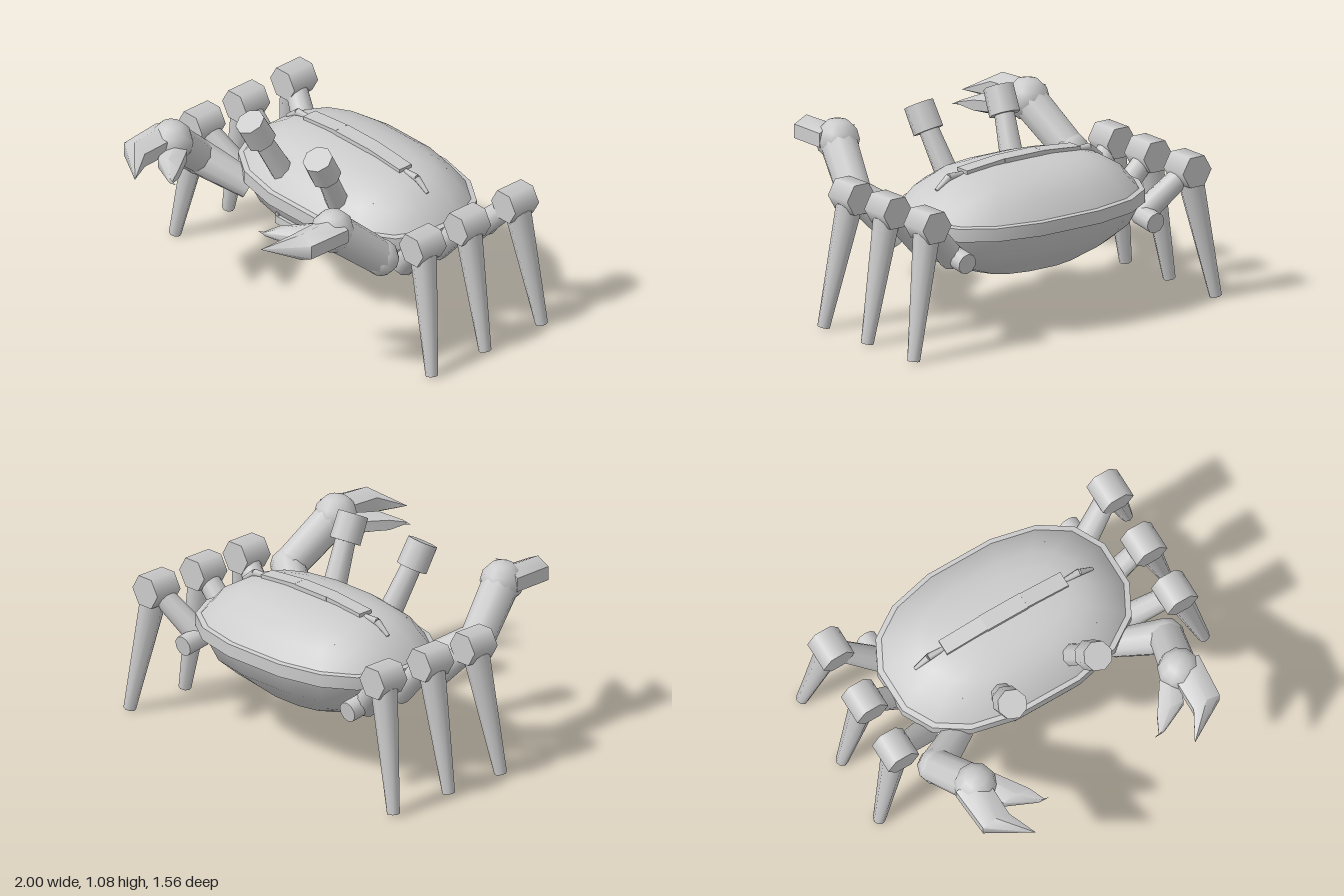
import * as THREE from 'three';
import { toCreasedNormals } from 'three/addons/utils/BufferGeometryUtils.js';

const shellGrey = new THREE.MeshStandardMaterial({ color: 0xcccccc });
shellGrey.name = 'shell grey';

const V = (x, y, z) => new THREE.Vector3(x, y, z);

function add(parent, name, geometry, pos) {
  const m = new THREE.Mesh(geometry, shellGrey);
  m.name = name;
  if (pos) m.position.copy(pos);
  parent.add(m);
  return m;
}

// Tapered round bar between two points
function rod(parent, name, a, b, ra, rb, sides = 10) {
  const d = b.clone().sub(a);
  const m = add(parent, name, new THREE.CylinderGeometry(rb, ra, d.length(), sides), a.clone().add(b).multiplyScalar(0.5));
  m.quaternion.setFromUnitVectors(V(0, 1, 0), d.normalize());
  return m;
}

// Stacked elliptical sections: [y, radiusX, radiusZ, centreX, centreZ]
function loft(sections, sides, power, crease) {
  const pos = [], index = [];
  const bend = v => Math.sign(v) * Math.pow(Math.abs(v), power);
  for (const [y, rx, rz, cx = 0, cz = 0] of sections) {
    for (let i = 0; i < sides; i++) {
      const t = ((i + 0.5) / sides) * Math.PI * 2;
      pos.push(cx + rx * bend(Math.cos(t)), y, cz + rz * bend(Math.sin(t)));
    }
  }
  for (let j = 0; j < sections.length - 1; j++) {
    for (let i = 0; i < sides; i++) {
      const k = (i + 1) % sides;
      const a = j * sides + i, b = j * sides + k, c = a + sides, d = b + sides;
      index.push(a, c, b, b, c, d);
    }
  }
  const g = new THREE.BufferGeometry();
  g.setAttribute('position', new THREE.Float32BufferAttribute(pos, 3));
  g.setIndex(index);
  return toCreasedNormals(g, crease);
}

function addBody(root) {
  add(root, 'body', loft([
    [0.29, 0, 0], [0.29, 0.31, 0.21], [0.36, 0.51, 0.29], [0.44, 0.61, 0.38], [0.55, 0.665, 0.43],
    [0.555, 0.69, 0.455], [0.625, 0.69, 0.455], [0.63, 0.66, 0.43], [0.72, 0.585, 0.365],
    [0.79, 0.47, 0.27], [0.82, 0.36, 0.18], [0.835, 0.2, 0.1], [0.838, 0, 0],
  ], 16, 0.8, 0.62), V(0, 0, -0.335));

  // Mouth bar with turned-up ends
  add(root, 'mouth', new THREE.BoxGeometry(0.36, 0.045, 0.06), V(0, 0.455, 0.045));
  for (const s of [-1, 1]) add(root, 'mouthCorner', new THREE.BoxGeometry(0.02, 0.06, 0.05), V(s * 0.17, 0.465, 0.045));

  // Plates along the crest of the shell
  add(root, 'crestPlate', new THREE.BoxGeometry(0.24, 0.05, 0.09), V(0, 0.835, -0.335));
  for (const s of [-1, 1]) {
    const plate = add(root, 'crestSidePlate', new THREE.BoxGeometry(0.245, 0.045, 0.085), V(s * 0.24, 0.827, -0.335));
    plate.rotation.z = -s * 0.09;
    rod(root, 'crestWire', V(s * 0.35, 0.815, -0.335), V(s * 0.45, 0.81, -0.335), 0.012, 0.02, 6);
    rod(root, 'crestWireTip', V(s * 0.45, 0.81, -0.335), V(s * 0.53, 0.755, -0.335), 0.02, 0.01, 6);
    // Small studs on the shell
    for (const [x, z] of [[0.4, -0.59], [0.52, -0.45], [0.52, -0.22], [0.4, -0.075]]) {
      add(root, 'stud', new THREE.ConeGeometry(0.012, 0.04, 6), V(s * x, 0.725, z));
    }
  }
}

function addEye(root, s) {
  rod(root, 'eyeStalk', V(s * 0.2, 0.65, -0.03), V(s * 0.247, 0.95, 0.125), 0.064, 0.052, 8);
  rod(root, 'eye', V(s * 0.245, 0.915, 0.11), V(s * 0.256, 1.045, 0.18), 0.082, 0.08, 8);
}

function addLegs(root, s) {
  // [inner end z, knee z, foot z]
  for (const [inner, knee, foot] of [[-0.11, -0.02, 0.042], [-0.33, -0.33, -0.33], [-0.56, -0.665, -0.725]]) {
    rod(root, 'upperLeg', V(s * 0.6, 0.46, inner), V(s * 0.835, 0.7, knee), 0.068, 0.055);
    const hub = new THREE.CylinderGeometry(0.092, 0.092, 0.165, 6);
    hub.rotateY(Math.PI / 6);
    hub.rotateX(Math.PI / 2);
    add(root, 'knee', hub, V(s * 0.835, 0.705, knee));
    rod(root, 'lowerLeg', V(s * 0.846, 0.66, knee + (foot - knee) * 0.1), V(s * 0.97, 0.012, foot), 0.07, 0.033, 8);
  }
  rod(root, 'rearHip', V(s * 0.605, 0.48, -0.56), V(s * 0.605, 0.46, -0.7), 0.055, 0.055);
}

function addClaw(root, s) {
  const elbow = V(s * 0.69, 0.635, 0.14), wrist = V(s * 0.61, 0.865, 0.4);
  rod(root, 'upperArm', V(s * 0.46, 0.5, -0.01), elbow, 0.075, 0.095);
  add(root, 'elbow', new THREE.SphereGeometry(0.097, 10, 6), elbow);
  rod(root, 'foreArm', elbow, wrist, 0.092, 0.1);
  add(root, 'wrist', new THREE.SphereGeometry(0.115, 10, 6), wrist);

  // Fingers are lofted upright, then laid forward
  const finger = (name, sections) => {
    const g = loft(sections.map(([z, rx, ry, x, y]) => [z, rx, ry, s * x, -y]), 6, 1, 0.9);
    g.rotateX(Math.PI / 2);
    add(root, name, g);
  };
  finger('largeFinger', [[0.4, 0, 0, 0.64, 0.88], [0.4, 0.1, 0.075, 0.64, 0.88], [0.64, 0.09, 0.075, 0.63, 0.87], [0.78, 0, 0, 0.475, 0.845]]);
  finger('smallFinger', [[0.4, 0, 0, 0.56, 0.83], [0.4, 0.08, 0.06, 0.56, 0.83], [0.56, 0.09, 0.055, 0.46, 0.83], [0.64, 0.02, 0.012, 0.36, 0.83], [0.645, 0, 0, 0.31, 0.83]]);
}

export function createModel() {
  const root = new THREE.Group();
  root.name = 'crab';
  addBody(root);
  for (const s of [-1, 1]) {
    addEye(root, s);
    addLegs(root, s);
    addClaw(root, s);
  }
  return root;
}
